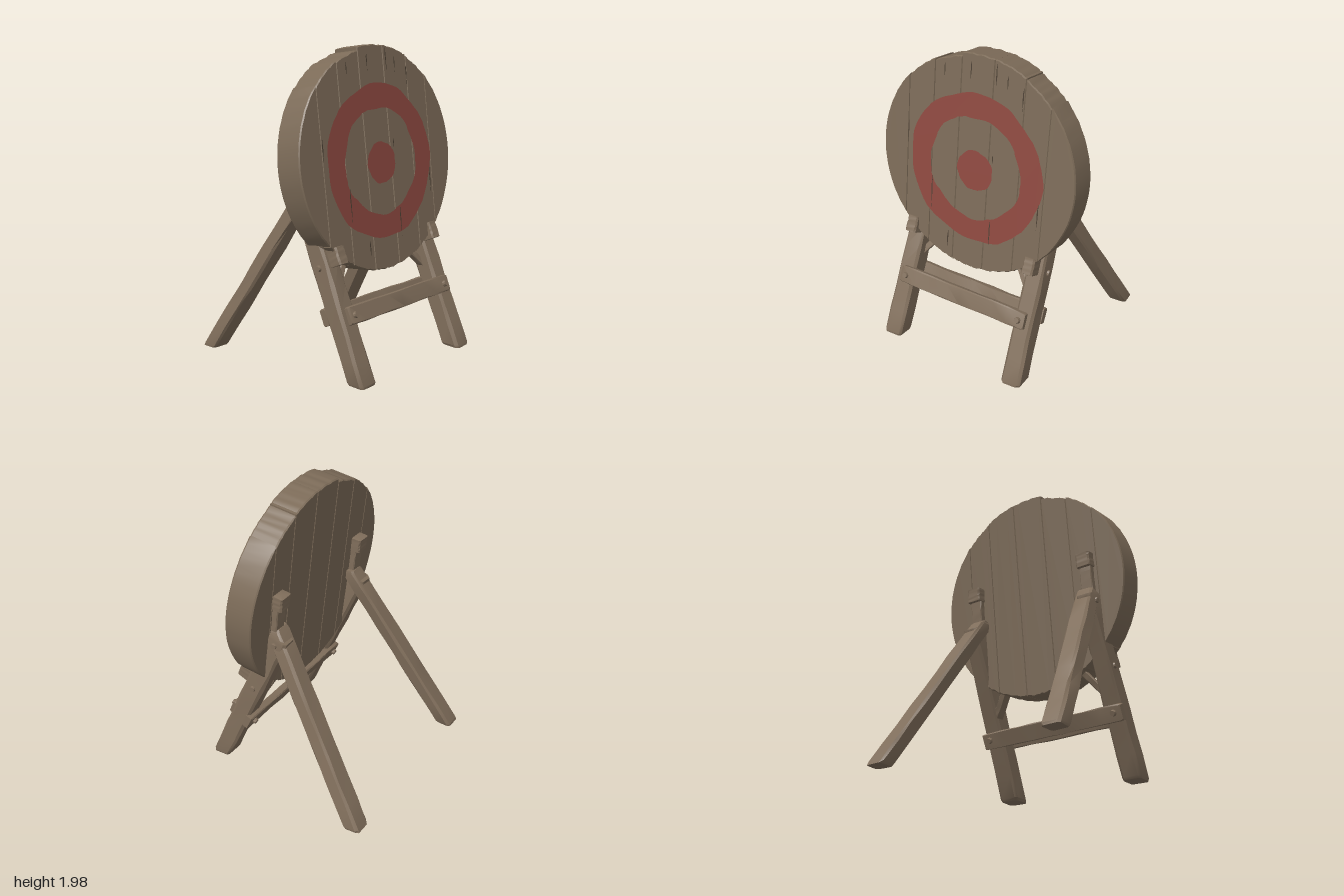
import * as THREE from 'three';
import { toCreasedNormals } from 'three/addons/utils/BufferGeometryUtils.js';

const mat = (name, color) => {
  const m = new THREE.MeshStandardMaterial({ color });
  m.name = name;
  return m;
};

// small repeatable noise in -1..1
const noise = (n) => {
  const s = Math.sin(n * 127.1 + 11.7) * 43758.5453;
  return (s - Math.floor(s)) * 2 - 1;
};

export function createModel() {
  const model = new THREE.Group();
  const wood = mat('wood', 0x806e5b);
  const boardWood = mat('board wood', 0x7c6b58);
  const red = mat('red paint', 0x8e4940);
  const dark = mat('dark crack', 0x4c4034);

  const add = (parent, name, geo, material, x = 0, y = 0, z = 0) => {
    const m = new THREE.Mesh(geo, material);
    m.name = name;
    m.position.set(x, y, z);
    parent.add(m);
    return m;
  };

  // worn beam with chamfered edges; sections stay level, so it shears from a to b
  function beam(a, b, w, d, { taper = 1, tilt = 0, seed = 1, wear = 0.004 } = {}) {
    const rows = 10, c = Math.min(w, d) * 0.13;
    const W = w / 2, D = d / 2;
    const ring = [[W - c, D], [W, D - c], [W, c - D], [W - c, -D],
      [c - W, -D], [-W, c - D], [-W, D - c], [c - W, D]];
    const geo = new THREE.CylinderGeometry(1, 1, 1, 8, rows);
    const p = geo.attributes.position;
    for (let i = 0; i < p.count; i++) {
      const row = Math.round((p.getY(i) + 0.5) * rows);
      const t = row === 0 ? 0 : row === rows ? 1 : 0.015 + (row - 1) / (rows - 2) * 0.97;
      let x = 0, z = 0;
      if (Math.hypot(p.getX(i), p.getZ(i)) > 0.5) {
        const k = (Math.round(Math.atan2(p.getX(i), p.getZ(i)) / (Math.PI / 4)) + 8) % 8;
        const end = row === 0 || row === rows ? 0.9 : 1;
        x = ring[k][0] * end * (1 + (taper - 1) * t) + wear * noise(seed + row * 9 + k);
        z = ring[k][1] * end + wear * noise(seed + row * 9 + k + 200);
      }
      p.setXYZ(i, a[0] + (b[0] - a[0]) * t + x,
        a[1] + (b[1] - a[1]) * t + z * tilt * t,
        a[2] + (b[2] - a[2]) * t + z);
    }
    return toCreasedNormals(geo, 0.5);
  }

  // ---------- round board, leaning back ----------
  const board = new THREE.Group();
  board.name = 'targetBoard';
  board.position.set(0, 1.285, 0.215);
  board.rotation.x = -0.122;
  model.add(board);

  const R = 0.703, T = 0.19, bevel = 0.009;
  const seams = [-R, -0.515, -0.325, -0.13, 0.1, 0.32, 0.5, R];
  const rimDrop = [0, 0.012, 0.022, 0.004, 0, 0.008, 0.003];
  for (let i = 0; i < seams.length - 1; i++) {
    const a0 = Math.acos(seams[i] / R), a1 = Math.acos(seams[i + 1] / R);
    const pts = [];
    const N = 12;
    for (const side of [1, -1]) {
      for (let j = 0; j <= N; j++) {
        const u = side > 0 ? j / N : 1 - j / N;
        const a = a0 + (a1 - a0) * u;
        const drop = (side > 0 ? rimDrop[i] : 0.004) + 0.004 * noise(i * 40 + j + side * 17);
        const h = R * Math.sin(a);
        if (h < 0.01 && side < 0) continue; // a single point at the outer tips
        pts.push(new THREE.Vector2(R * Math.cos(a), h < 0.01 ? 0 : side * Math.max(h - drop, 0.02)));
      }
    }
    const geo = new THREE.ExtrudeGeometry(new THREE.Shape(pts), {
      depth: T - 2 * bevel, bevelEnabled: true, bevelThickness: bevel,
      bevelSize: bevel * 0.6, bevelOffset: -bevel * 0.5, bevelSegments: 1,
    });
    geo.translate(0, 0, -T / 2 + bevel);
    add(board, 'plank', toCreasedNormals(geo, 0.5), boardWood);
  }

  // painted ring and centre with brushed, uneven edges
  const wobble = (r, seed, amp) => {
    const pts = [];
    for (let i = 0; i < 72; i++) {
      const a = i / 72 * Math.PI * 2;
      const k = r + amp * (Math.sin(a * 5 + seed) + 0.6 * Math.sin(a * 11 + seed * 2) + 0.4 * noise(i + seed * 50));
      pts.push(new THREE.Vector2(k * Math.cos(a), k * Math.sin(a)));
    }
    return pts;
  };
  const ringShape = new THREE.Shape(wobble(0.483, 1, 0.006));
  ringShape.holes.push(new THREE.Path(wobble(0.333, 3, 0.006)));
  add(board, 'paintedRing', new THREE.ShapeGeometry(ringShape), red, 0.003, -0.02, T / 2 + 0.003);
  add(board, 'paintedCentre', new THREE.ShapeGeometry(new THREE.Shape(wobble(0.13, 5, 0.003))),
    red, 0.005, -0.03, T / 2 + 0.003);

  // cracks: x, y, length
  const cracks = [[-0.06, 0.6, 0.12], [0.12, 0.6, 0.16], [0.2, 0.57, 0.1], [-0.25, 0.56, 0.1],
    [0.31, 0.5, 0.16], [-0.31, -0.26, 0.24], [0.14, -0.42, 0.2], [-0.17, -0.55, 0.12],
    [0.47, -0.2, 0.18], [-0.51, 0.1, 0.16], [0.13, 0.08, 0.06]];
  for (const [x, y, l] of cracks) {
    const s = new THREE.Shape([[0, -l / 2], [0.005, 0], [0.003, l / 2], [-0.004, l * 0.2]]
      .map(([u, v]) => new THREE.Vector2(u, v)));
    add(board, 'crack', new THREE.ShapeGeometry(s), dark, x, y, T / 2 + 0.005);
  }

  // ---------- stand, mirrored left and right ----------
  const tilt = -0.42;
  for (const s of [1, -1]) {
    const seed = s > 0 ? 3 : 57;
    add(model, 'frontLeg', beam([s * 0.47, 0.012, 0.578], [s * 0.455, 1.12, 0.08], 0.138, 0.133,
      { taper: 0.78, tilt: 0.44, seed }), wood);
    add(model, 'backLeg', beam([s * 0.63, 0.02, -0.58], [s * 0.43, 1.17, 0.14], 0.13, 0.118,
      { taper: 0.92, seed: seed + 20 }), wood);
    add(model, 'diagonalBrace', beam([s * 0.43, 0.52, 0.32], [s * 0.26, 0.73, 0.23], 0.055, 0.06,
      { seed: seed + 30, wear: 0.002 }), wood);

    // peg that holds the lower rim
    const peg = add(model, 'rimPeg', beam([0, -0.055, 0], [0, 0.055, 0], 0.08, 0.1,
      { seed: seed + 40, wear: 0.002 }), wood, s * 0.448, 0.755, 0.355);
    peg.rotation.x = tilt;

    // cleat and end block on the back of the board
    add(board, 'backCleat', beam([s * 0.445, -0.2, -T / 2 - 0.015], [s * 0.445, 0.1, -T / 2 - 0.015],
      0.085, 0.05, { seed: seed + 50, wear: 0.002 }), wood);
    add(board, 'cleatBlock', beam([s * 0.445, 0.05, -T / 2 - 0.028], [s * 0.445, 0.145, -T / 2 - 0.028],
      0.1, 0.075, { seed: seed + 60, wear: 0.002 }), wood);

    // bolts on the outer faces of the leg
    for (const [x, y, z] of [[0.507, 1.07, 0.1], [0.52, 0.68, 0.275]]) {
      const bolt = add(model, 'sideBolt',
        toCreasedNormals(new THREE.CylinderGeometry(0.018, 0.024, 0.03, 10), 0.6), wood, s * x, y, z);
      bolt.rotation.z = -s * Math.PI / 2;
    }
    // bolts through the crossbars
    for (const [x, y, z, dir] of [[0.44, 0.425, 0.502, 1], [0.48, 0.38, 0.302, -1]]) {
      const bolt = add(model, 'barBolt',
        toCreasedNormals(new THREE.CylinderGeometry(0.017, 0.023, 0.025, 10), 0.6), wood, s * x, y, z);
      bolt.rotation.x = dir * Math.PI / 2 + tilt;
    }
  }

  // ---------- crossbars clamping the front legs ----------
  for (const [name, half, y, z, h] of [['frontCrossbar', 0.485, 0.415, 0.474, 0.11],
    ['rearCrossbar', 0.535, 0.388, 0.333, 0.11]]) {
    const geo = beam([0, -half, 0], [0, half, 0], h, 0.048, { seed: y * 100, wear: 0.003 });
    geo.rotateZ(Math.PI / 2);
    add(model, name, geo, wood, 0, y, z).rotation.x = tilt;
  }

  return model;
}
